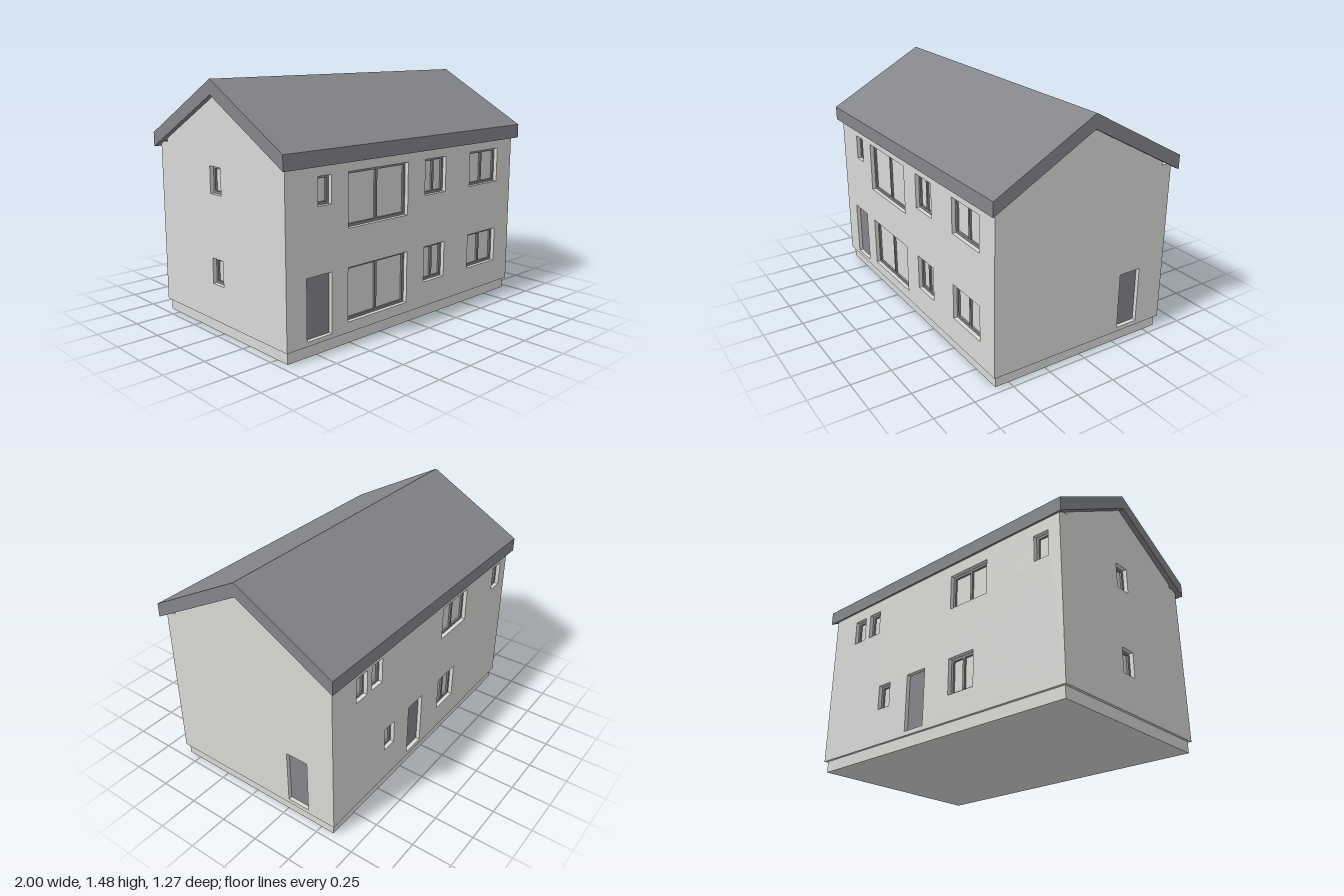
import * as THREE from 'three';

const wallMat = new THREE.MeshStandardMaterial({ name: 'pale grey render', color: 0xd8d8d5 });
const darkMat = new THREE.MeshStandardMaterial({ name: 'slate grey', color: 0x84858a });

const HALF_X = 0.967, HALF_Z = 0.603, BASE = 0.07, THICK = 0.07;
const RECESS = 0.025, BAR = 0.016;
const RIDGE = 1.395, SLOPE = 0.548; // underside of the roof

function polygon(points) {
  return new THREE.Shape(points.map(([x, y]) => new THREE.Vector2(x, y)));
}

function rectPath(u0, u1, y0, y1) {
  const p = new THREE.Path();
  p.moveTo(u0, y0).lineTo(u0, y1).lineTo(u1, y1).lineTo(u1, y0).closePath();
  return p;
}

function extrude(shape, depth, mat, name, z) {
  const geo = new THREE.ExtrudeGeometry(shape, { depth, bevelEnabled: false });
  const mesh = new THREE.Mesh(geo, mat);
  mesh.name = name;
  mesh.position.z = z;
  return mesh;
}

function slab(u0, u1, y0, y1, depth, front, mat, name) {
  const mesh = new THREE.Mesh(new THREE.BoxGeometry(u1 - u0, y1 - y0, depth), mat);
  mesh.position.set((u0 + u1) / 2, (y0 + y1) / 2, front - depth / 2);
  mesh.name = name;
  return mesh;
}

// Recessed window: frame with one or two lights, and a pane behind it
function makeWindow({ u0, u1, y0, y1, lights = 1 }) {
  const g = new THREE.Group();
  g.name = 'window';
  const frame = polygon([[u0, y0], [u1, y0], [u1, y1], [u0, y1]]);
  const step = (u1 - u0 - BAR) / lights;
  for (let i = 0; i < lights; i++) {
    frame.holes.push(rectPath(u0 + i * step + BAR, u0 + (i + 1) * step, y0 + BAR, y1 - BAR));
  }
  g.add(extrude(frame, 0.02, darkMat, 'windowFrame', -RECESS - 0.02));
  g.add(slab(u0, u1, y0, y1, 0.008, -RECESS - 0.012, wallMat, 'windowPane'));
  return g;
}

// Wall in local space: u runs along the wall, +z points outwards
function makeWall(name, outline, openings) {
  const g = new THREE.Group();
  g.name = name;
  const shape = polygon(outline);
  for (const o of openings) {
    shape.holes.push(rectPath(o.u0, o.u1, o.y0, o.y1));
    g.add(o.door
      ? slab(o.u0, o.u1, o.y0, o.y1, 0.03, -RECESS, darkMat, 'door')
      : makeWindow(o));
  }
  g.add(extrude(shape, THICK, wallMat, name + 'Panel', -THICK));
  return g;
}

const win = (u0, u1, y0, y1, lights) => ({ u0, u1, y0, y1, lights });
const door = (u0, u1) => ({ u0, u1, y0: 0.097, y1: 0.452, door: true });

export function createModel() {
  const house = new THREE.Group();
  house.name = 'house';

  // Plinth
  const plinth = new THREE.Mesh(new THREE.BoxGeometry(1.902, BASE, 1.174), wallMat);
  plinth.name = 'plinth';
  plinth.position.y = BASE / 2;
  house.add(plinth);

  // Long walls
  const long = [[-HALF_X, BASE], [HALF_X, BASE], [HALF_X, 1.083], [-HALF_X, 1.083]];
  const front = makeWall('frontWall', long, [
    win(-0.745, -0.65, 0.83, 0.99),
    win(-0.527, -0.047, 0.675, 0.99, 2),
    win(0.105, 0.295, 0.77, 0.99, 2),
    win(0.532, 0.818, 0.77, 0.99, 2),
    door(-0.828, -0.648),
    win(-0.527, -0.047, 0.133, 0.45, 2),
    win(0.105, 0.295, 0.227, 0.45, 2),
    win(0.532, 0.818, 0.227, 0.45, 2),
  ]);
  front.position.z = HALF_Z;

  const back = makeWall('backWall', long, [
    win(-0.755, -0.655, 0.83, 0.99),
    win(-0.61, -0.51, 0.83, 0.99),
    win(0.145, 0.435, 0.77, 0.99, 2),
    win(0.786, 0.886, 0.83, 0.99),
    win(-0.465, -0.365, 0.295, 0.45),
    door(-0.208, -0.056),
    win(0.145, 0.338, 0.227, 0.45, 2),
  ]);
  back.position.z = -HALF_Z;
  back.rotation.y = Math.PI;

  // Gable walls fit between the long walls
  const w = HALF_Z - THICK;
  const eave = RIDGE - SLOPE * w;
  const gable = [[-w, BASE], [w, BASE], [w, eave], [0, RIDGE], [-w, eave]];
  const left = makeWall('leftGable', gable, [door(0.27, 0.418)]);
  left.position.x = HALF_X;
  left.rotation.y = Math.PI / 2;

  const right = makeWall('rightGable', gable, [
    win(-0.075, 0.03, 0.83, 0.99),
    win(-0.075, 0.03, 0.295, 0.45),
  ]);
  right.position.x = -HALF_X;
  right.rotation.y = -Math.PI / 2;
  house.add(front, back, left, right);

  // Pitched roof with vertical eaves
  const e = 0.634, low = RIDGE - SLOPE * e, t = 0.087;
  const roof = extrude(
    polygon([[-e, low], [0, RIDGE], [e, low], [e, low + t], [0, RIDGE + t], [-e, low + t]]),
    2, darkMat, 'roof', 0);
  roof.rotation.y = Math.PI / 2;
  roof.position.x = -1;
  house.add(roof);

  return house;
}
